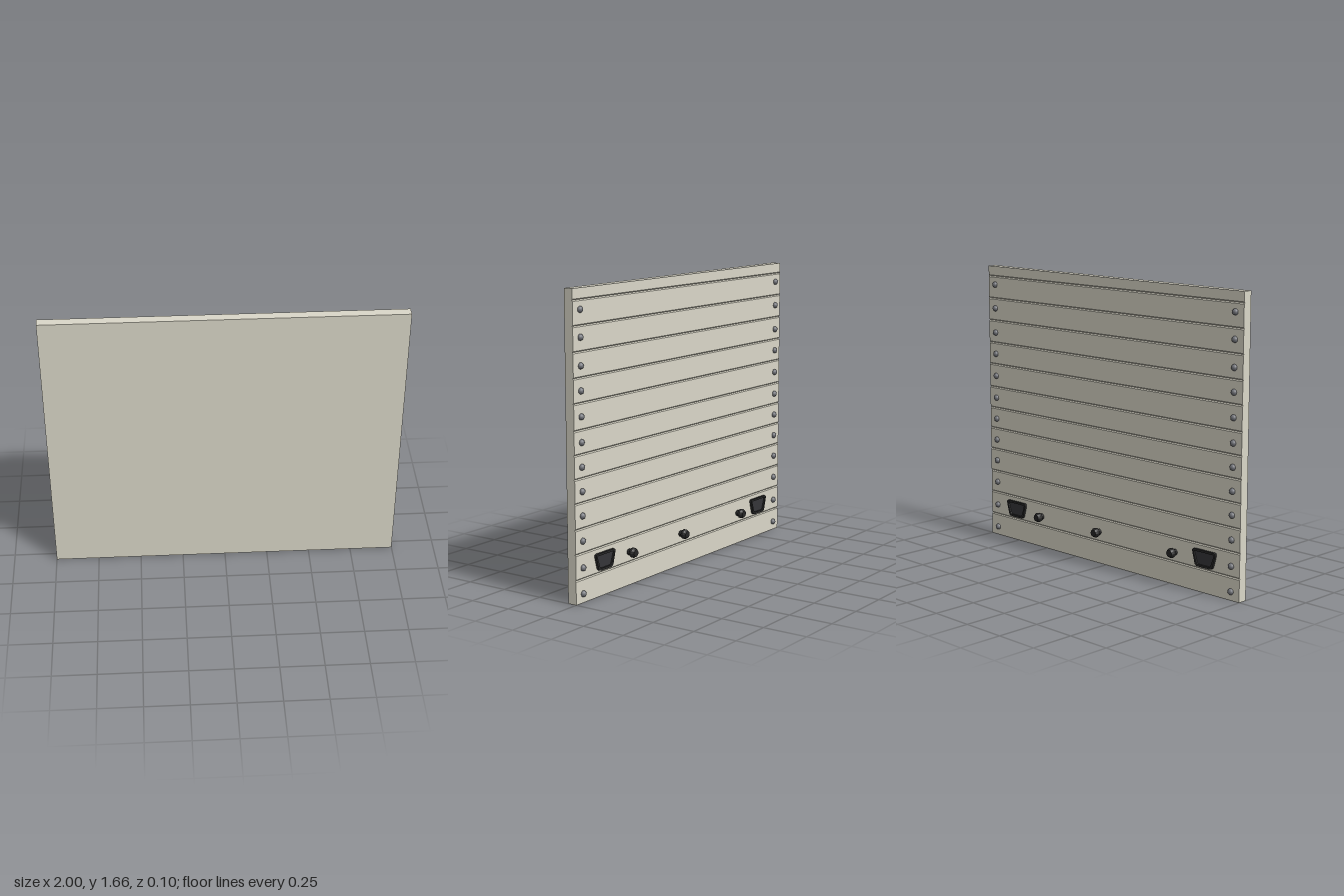
import * as THREE from 'three';

const BACK = -0.002, FRONT = 0.052, HEIGHT = 1.66;
const rivetRows = [0.05, 0.19, 0.335, 0.47, 0.6, 0.73, 0.86, 0.995, 1.13, 1.26, 1.407, 1.55];
const grooveRows = [0.13, 0.269, 0.402, 0.54, 0.67, 0.797, 0.925, 1.066, 1.198, 1.333, 1.467, 1.6];

const paint = (color) => new THREE.MeshStandardMaterial({ color });

function addMesh(parent, name, geometry, material, x = 0, y = 0, z = 0) {
  const mesh = new THREE.Mesh(geometry, material);
  mesh.name = name;
  mesh.position.set(x, y, z);
  parent.add(mesh);
  return mesh;
}

// Side profile with V grooves along the back, swept across the width
function panelGeometry() {
  const s = new THREE.Shape();
  s.moveTo(-FRONT, 0);
  s.lineTo(-BACK, 0);
  for (const y of grooveRows) {
    s.lineTo(-BACK, y - 0.006);
    s.lineTo(-BACK - 0.005, y);
    s.lineTo(-BACK, y + 0.006);
  }
  s.lineTo(-BACK, HEIGHT);
  s.lineTo(-FRONT, HEIGHT);
  s.closePath();
  return new THREE.ExtrudeGeometry(s, { depth: 2, bevelEnabled: false })
    .translate(0, 0, -1).rotateY(Math.PI / 2);
}

// Trapezoid, narrower at the bottom, with rounded corners
function trapezoid(inset, r, target) {
  const h = 0.048 - inset, top = 0.086 - inset, low = 0.06 - inset;
  const c = [[-low, -h], [low, -h], [top, h], [-top, h]].map(([x, y]) => new THREE.Vector2(x, y));
  c.forEach((p, i) => {
    const toward = (q) => p.clone().add(q.clone().sub(p).setLength(r));
    const a = toward(c[(i + 3) % 4]), b = toward(c[(i + 1) % 4]);
    if (i === 0) target.moveTo(a.x, a.y);
    else target.lineTo(a.x, a.y);
    target.quadraticCurveTo(p.x, p.y, b.x, b.y);
  });
  target.closePath();
  return target;
}

export function createModel() {
  const model = new THREE.Group();
  model.name = 'slattedPanel';
  const beige = paint(0xdad7c8), steel = paint(0x74767c);
  const black = paint(0x262626), dark = paint(0x353538);

  addMesh(model, 'panel', panelGeometry(), beige);

  // Domed rivets down both edges of the back
  const dome = new THREE.SphereGeometry(0.018, 12, 6, 0, Math.PI * 2, 0, Math.PI / 2).rotateX(-Math.PI / 2);
  for (const x of [-0.942, 0.942])
    for (const y of rivetRows) addMesh(model, 'rivet', dome, steel, x, y, BACK);

  // Knobs: narrow stem with a chamfered cap
  const profile = [[0.018, 0], [0.018, 0.017], [0.026, 0.02], [0.028, 0.025], [0.028, 0.036],
    [0.024, 0.042], [0.02, 0.05], [0, 0.05]].map(([r, y]) => new THREE.Vector2(r, y));
  const knob = new THREE.LatheGeometry(profile, 12).rotateX(-Math.PI / 2).toNonIndexed();
  knob.computeVertexNormals();
  for (const x of [-0.537, 0.056, 0.543]) addMesh(model, 'knob', knob, black, x, 0.187, BACK);

  // Recessed handles: raised rim around a sunken plate
  const rimShape = trapezoid(0, 0.018, new THREE.Shape());
  rimShape.holes.push(trapezoid(0.012, 0.012, new THREE.Path()));
  const rim = new THREE.ExtrudeGeometry(rimShape, { depth: 0.014, bevelEnabled: false, curveSegments: 4 });
  const plate = new THREE.ExtrudeGeometry(trapezoid(0.011, 0.012, new THREE.Shape()),
    { depth: 0.005, bevelEnabled: false, curveSegments: 4 });
  for (const x of [-0.757, 0.762]) {
    const handle = new THREE.Group();
    handle.name = 'recessedHandle';
    handle.position.set(x, 0.193, BACK);
    handle.rotation.y = Math.PI;
    addMesh(handle, 'handleRim', rim, black);
    addMesh(handle, 'handlePlate', plate, dark);
    model.add(handle);
  }
  return model;
}
